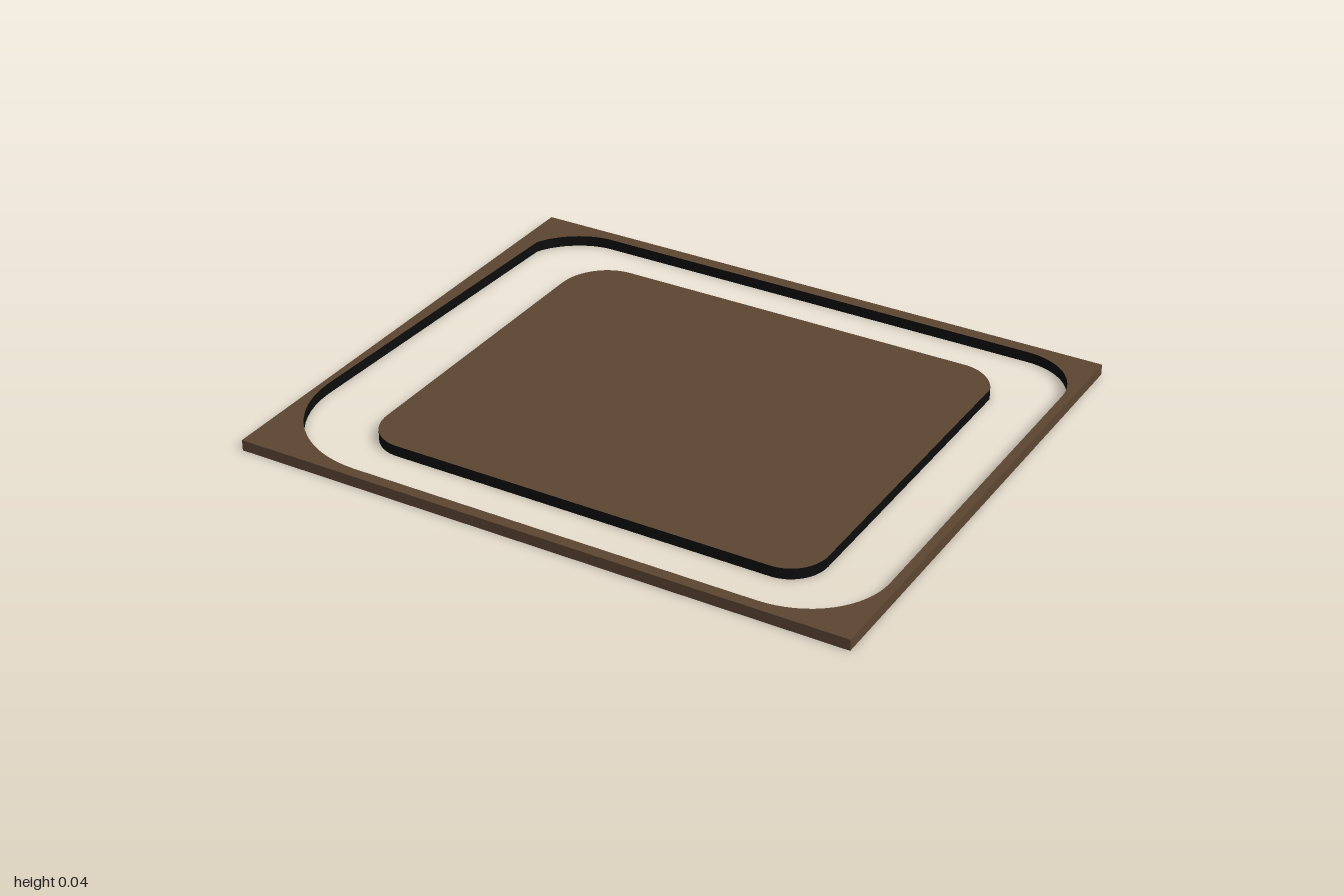
import * as THREE from 'three';

const THICKNESS = 0.035;
const SEGMENTS = 16;

// Each corner: start x,z, control x,z, end x,z; straight edges join the corners
const OPENING = [
  [-0.942, -0.66, -0.884, -0.798, -0.74, -0.798],
  [0.77, -0.798, 0.971, -0.798, 0.971, -0.6],
  [0.971, 0.55, 0.971, 0.805, 0.7, 0.805],
  [-0.62, 0.805, -0.98, 0.805, -0.98, 0.45],
];
const PLATE = [
  [-0.716, -0.46, -0.716, -0.628, -0.56, -0.628],
  [0.64, -0.628, 0.735, -0.628, 0.767, -0.53],
  [0.767, 0.52, 0.767, 0.641, 0.65, 0.641],
  [-0.59, 0.641, -0.716, 0.641, -0.716, 0.51],
];

// Rounded outline in plan; shape y is -z
function outline(corners) {
  const shape = new THREE.Shape();
  const k = 0.56;
  corners.forEach(([ax, az, cx, cz, bx, bz], i) => {
    if (i === 0) shape.moveTo(ax, -az);
    else shape.lineTo(ax, -az);
    shape.bezierCurveTo(
      ax + (cx - ax) * k, -(az + (cz - az) * k),
      bx + (cx - bx) * k, -(bz + (cz - bz) * k),
      bx, -bz);
  });
  shape.closePath();
  return shape;
}

// Upright strip that follows an outline, facing outwards
function wallStrip(shape) {
  const points = shape.getPoints(SEGMENTS).reverse();
  const geometry = new THREE.PlaneGeometry(1, 1, points.length - 1, 1);
  const position = geometry.attributes.position;
  for (let i = 0; i < position.count; i++) {
    const { x, y } = points[i % points.length];
    position.setXYZ(i, x, i < points.length ? THICKNESS : 0, -y);
  }
  geometry.computeVertexNormals();
  return geometry;
}

export function createModel() {
  const group = new THREE.Group();
  const brown = new THREE.MeshStandardMaterial({ color: 0x5c4632 });
  const black = new THREE.MeshStandardMaterial({ color: 0x0d0d0d });
  const thinBrown = new THREE.MeshStandardMaterial({ color: 0x5c4632, side: THREE.DoubleSide });
  const thinBlack = new THREE.MeshStandardMaterial({ color: 0x0d0d0d, side: THREE.DoubleSide });

  const add = (name, geometry, material) => {
    const mesh = new THREE.Mesh(geometry, material);
    mesh.name = name;
    group.add(mesh);
  };

  // Rectangular rim with the rounded opening
  const rim = new THREE.Shape([[-1, -0.841], [1, -0.841], [1, 0.841], [-1, 0.841]]
    .map(([x, y]) => new THREE.Vector2(x, y)));
  rim.holes.push(outline(OPENING));
  const frame = new THREE.ExtrudeGeometry(rim, {
    depth: THICKNESS, bevelEnabled: false, curveSegments: SEGMENTS,
  }).rotateX(-Math.PI / 2);
  // Brown faces and four outer walls (six vertices each), black inner wall
  const [faces, walls] = frame.groups;
  const outerEnd = walls.start + 4 * 6;
  frame.clearGroups();
  frame.addGroup(faces.start, outerEnd, 0);
  frame.addGroup(outerEnd, walls.start + walls.count - outerEnd, 1);
  add('frame', frame, [brown, black]);

  // Centre plate: a thin top with a black edge, open underneath
  const plate = outline(PLATE);
  const plateTop = new THREE.ShapeGeometry(plate, SEGMENTS)
    .rotateX(-Math.PI / 2).translate(0, THICKNESS, 0);
  add('plateTop', plateTop, thinBrown);
  add('plateEdge', wallStrip(plate), thinBlack);

  return group;
}
